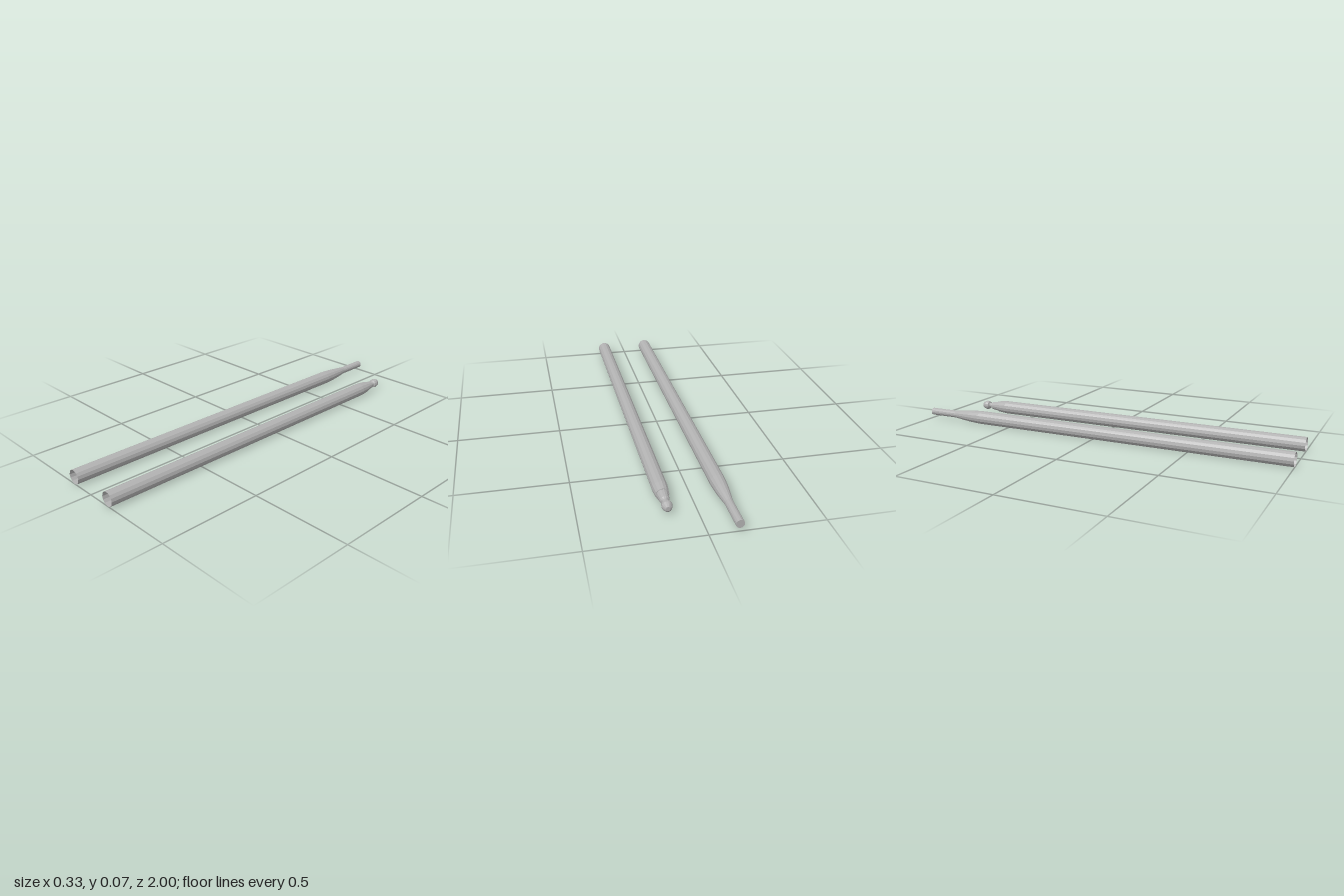
import * as THREE from 'three';

const SIDES = 14, RADIUS = 0.035, OFFSET = 0.1285;

const steel = new THREE.MeshStandardMaterial({ color: 0xb2b2b2, side: THREE.DoubleSide });
steel.name = 'steel';

// Faceted turned part along z; profile holds [radius, z] from front to back
function turned(name, profile) {
  const points = profile.map(([r, z]) => new THREE.Vector2(r, -z));
  const lathe = new THREE.LatheGeometry(points, SIDES, Math.PI / 2);
  lathe.rotateX(-Math.PI / 2);
  const geometry = lathe.toNonIndexed();
  geometry.computeVertexNormals();
  const mesh = new THREE.Mesh(geometry, steel);
  mesh.name = name;
  return mesh;
}

// Rod with an open front end and a closed back end, plus its tip
function rod(name, x, tipParts) {
  const group = new THREE.Group();
  group.name = name;
  group.add(turned('tube', [[RADIUS, 1], [RADIUS, -0.68], [0, -0.68]]), ...tipParts);
  group.position.set(x, RADIUS * Math.cos(Math.PI / SIDES), 0);
  return group;
}

export function createModel() {
  const model = new THREE.Group();
  model.name = 'rodPair';

  // Long rod: smooth taper into a slim pin
  model.add(rod('pinRod', -OFFSET, [
    turned('taper', [[RADIUS, -0.68], [0.031, -0.745], [0.025, -0.8], [0.019, -0.845]]),
    turned('pin', [[0.019, -0.845], [0.019, -1], [0, -1]]),
  ]));

  // Short rod: stepped collar, neck and knob
  model.add(rod('knobRod', OFFSET, [
    turned('collar', [[RADIUS, -0.68], [0.03, -0.73], [0.027, -0.73], [0.021, -0.775], [0.014, -0.78]]),
    turned('neck', [[0.014, -0.78], [0.013, -0.8]]),
    turned('knob', [[0.013, -0.797], [0.022, -0.802], [0.024, -0.818], [0.018, -0.835], [0.01, -0.84], [0, -0.84]]),
  ]));
  return model;
}
